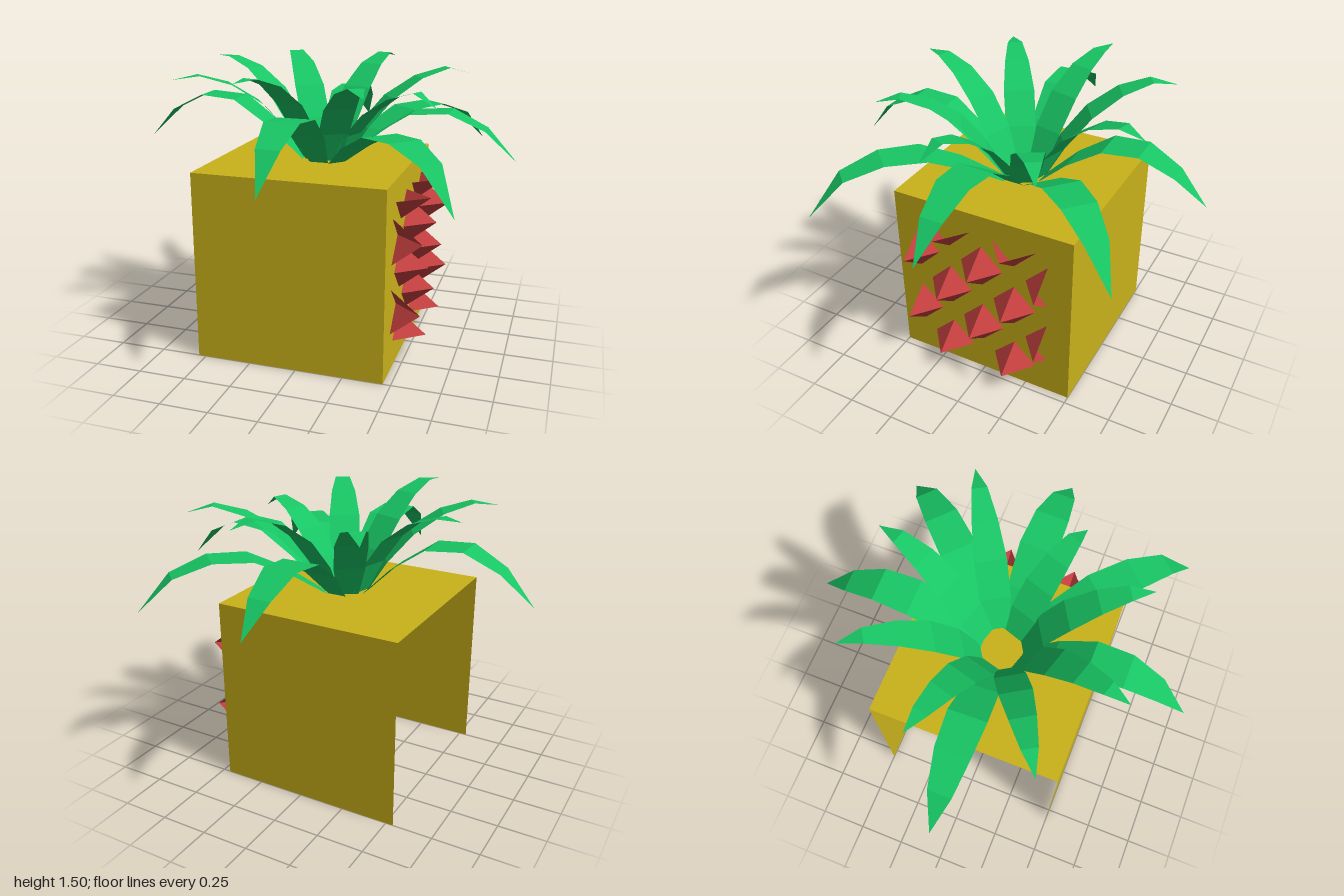
import * as THREE from 'three';

const material = (color) => new THREE.MeshStandardMaterial({ color, flatShading: true, side: THREE.DoubleSide });
const yellow = material(0xc9b11a);
const red = material(0xc43f3f);
const green = material(0x18c564);

const BODY_X = -0.04; // the unit cube sits slightly off centre

function add(parent, name, geometry, mat) {
  const mesh = new THREE.Mesh(geometry, mat);
  mesh.name = name;
  parent.add(mesh);
  return mesh;
}

function fromTriangles(points, index) {
  const g = new THREE.BufferGeometry();
  g.setAttribute('position', new THREE.Float32BufferAttribute(points, 3));
  if (index) g.setIndex(index);
  g.computeVertexNormals();
  return g;
}

// Cube shell, open underneath and on the -x side
function createBody() {
  const body = new THREE.Group();
  body.name = 'body';
  const panel = (name, x, y, z, rx, ry) => {
    const mesh = add(body, name, new THREE.PlaneGeometry(1, 1), yellow);
    mesh.position.set(BODY_X + x, y, z);
    mesh.rotation.set(rx, ry, 0);
  };
  panel('frontPanel', 0, 0.5, 0.5, 0, 0);
  panel('backPanel', 0, 0.5, -0.5, 0, Math.PI);
  panel('spikedPanel', 0.5, 0.5, 0, 0, Math.PI / 2);
  panel('topPanel', 0, 1, 0, -Math.PI / 2, 0);
  return body;
}

// Checkered rows of four-sided spikes, cut in half at the border and left open there
function createSpikes() {
  const spikes = new THREE.Group();
  spikes.name = 'spikes';
  const step = 0.185, size = 0.12, base = BODY_X + 0.5, tip = 0.61;
  const corners = [[0, 1], [-1, 0], [0, -1], [1, 0]]; // (z, y) seen from +x
  for (let i = -2; i <= 2; i++) {
    for (let j = -2; j <= 2; j++) {
      if ((i + j) % 2 === 0) continue;
      const z = i * step, y = 0.515 + j * step;
      const inside = ([cz, cy]) => Math.abs(i + cz) <= 2 && Math.abs(j + cy) <= 2;
      const points = [];
      corners.forEach((a, k) => {
        const b = corners[(k + 1) % 4];
        if (!inside(a) || !inside(b)) return;
        points.push(tip, y, z);
        points.push(base, y + b[1] * size, z + b[0] * size);
        points.push(base, y + a[1] * size, z + a[0] * size);
      });
      add(spikes, 'spike', fromTriangles(points), red);
    }
  }
  return spikes;
}

// Flat ribbon along +x from [radius, height, half width] stations, ending in a point
function leafGeometry(stations) {
  const points = [], index = [];
  const last = stations.length - 1;
  stations.forEach(([r, y, w], k) => {
    if (k === last) {
      points.push(r, y, 0);
      index.push(2 * k - 2, 2 * k - 1, 2 * k);
      return;
    }
    points.push(r, y, -w, r, y, w);
    if (k > 0) {
      const a = 2 * k - 2;
      index.push(a, a + 1, a + 3, a, a + 3, a + 2);
    }
  });
  return fromTriangles(points, index);
}

// Profiles: [radius fraction, height fraction, half width]
const archedProfile = [
  [0.11, 0, 0.05], [0.28, 0.53, 0.085], [0.47, 0.95, 0.098],
  [0.66, 1, 0.088], [0.84, 0.72, 0.06], [1, 0, 0],
];
const uprightProfile = [
  [0.14, 0.02, 0.055], [0.26, 0.36, 0.08], [0.43, 0.68, 0.082],
  [0.63, 0.9, 0.065], [0.83, 1, 0.04], [1, 0, 0],
];

// Leaves: [angle in degrees from +x towards +z, reach, peak height, tip height]
const archedLeaves = [
  [1, 1, 0.29, 0.05], [43, 1.11, 0.23, -0.03], [90, 0.96, 0.31, 0.04],
  [178.3, 1, 0.32, 0.07], [269, 0.97, 0.3, 0.07], [312.5, 1.08, 0.24, 0],
];
const uprightLeaves = [
  [18.5, 0.66, 0.4, 0.33], [59, 0.73, 0.46, 0.43], [107, 0.72, 0.49, 0.48],
  [148, 0.78, 0.46, 0.44], [195, 0.72, 0.5, 0.5], [237, 0.77, 0.5, 0.47],
  [286, 0.74, 0.5, 0.47], [329, 0.81, 0.46, 0.42],
];

function createCrown() {
  const crown = new THREE.Group();
  crown.name = 'crown';
  crown.position.y = 1;
  const grow = (name, profile, leaves) => {
    for (const [angle, reach, peak, tip] of leaves) {
      const stations = profile.map(([r, h, w], k) =>
        [r * reach, k === profile.length - 1 ? tip : h * peak, w]);
      const leaf = add(crown, name, leafGeometry(stations), green);
      leaf.rotation.y = -THREE.MathUtils.degToRad(angle);
    }
  };
  grow('archedLeaf', archedProfile, archedLeaves);
  grow('uprightLeaf', uprightProfile, uprightLeaves);
  return crown;
}

export function createModel() {
  const model = new THREE.Group();
  model.name = 'cubePineapple';
  model.add(createBody(), createSpikes(), createCrown());
  return model;
}
